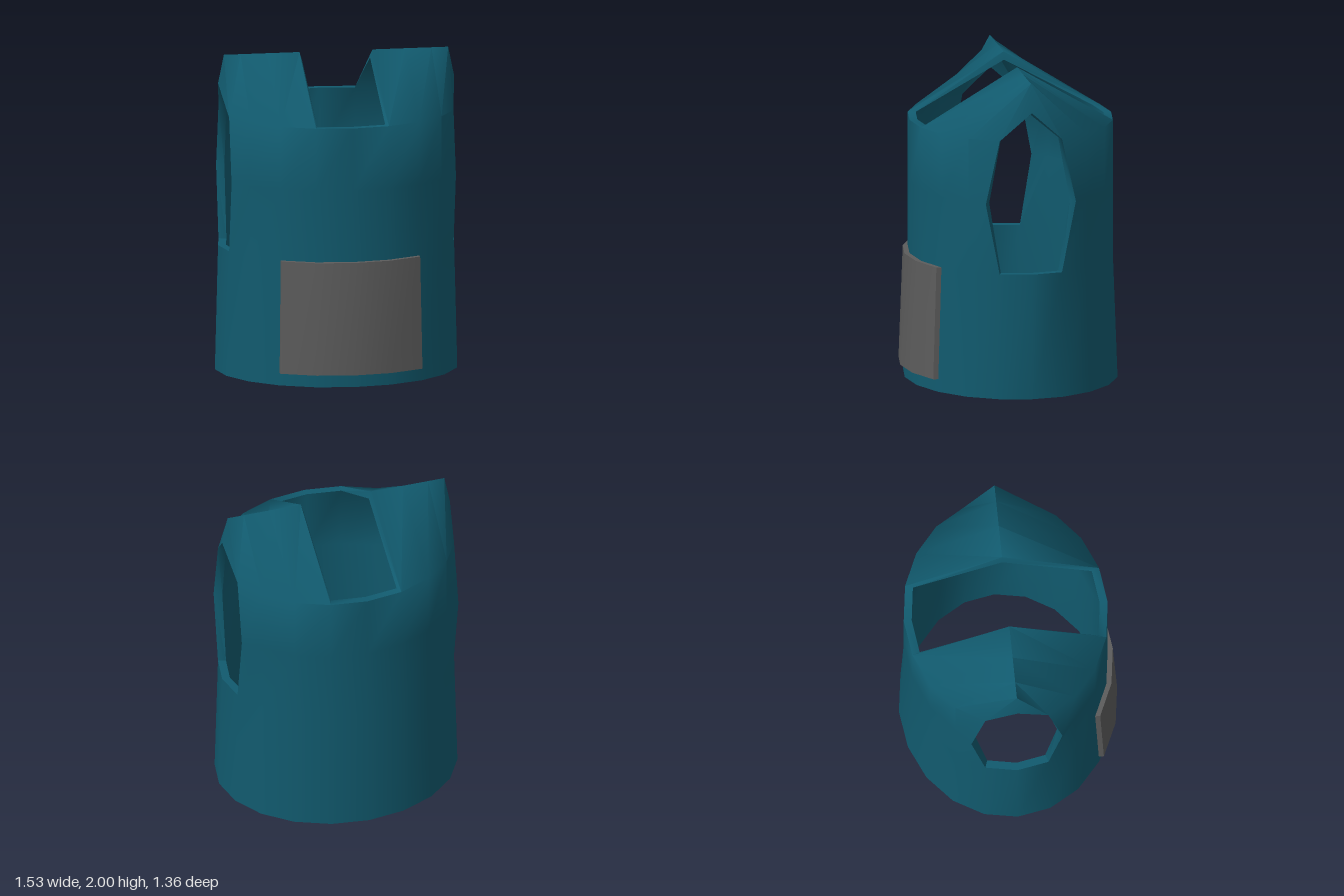
import * as THREE from 'three';
import { toCreasedNormals } from 'three/addons/utils/BufferGeometryUtils.js';

const SIDES = 20, ZC = -0.014, WALL = 0.05;
const HEM = 0, CHEST = 0.79, MID = 1.24, NECK = 1.64, TOP = 2;

// Point on the tapering elliptical torso, k counted from the front towards +x
function torso(k, y, inset = 0) {
  const a = (k / SIDES) * Math.PI * 2;
  const t = Math.max(0, 1 - y / CHEST);
  return new THREE.Vector3(
    Math.sin(a) * (0.745 + 0.02 * t - inset), y,
    ZC + Math.cos(a) * (0.638 + 0.03 * t - inset));
}

// Closes a sheet of faces into a solid: outer skin, inner skin and a rim on every open edge
function solid(faces, outer, inner, crease) {
  const pos = [];
  const add = (...p) => {
    for (let i = 1; i < p.length - 1; i++)
      for (const v of [p[0], p[i], p[i + 1]]) pos.push(v.x, v.y, v.z);
  };
  const edges = new Set();
  const eachEdge = (f, fn) => f.forEach((a, i) => fn(a, f[(i + 1) % f.length]));
  faces.forEach(f => eachEdge(f, (a, b) => edges.add(a + '>' + b)));
  for (const f of faces) {
    add(...f.map(outer));
    add(...f.map(inner).reverse());
    eachEdge(f, (a, b) => {
      if (!edges.has(b + '>' + a)) add(outer(b), outer(a), inner(a), inner(b));
    });
  }
  const g = new THREE.BufferGeometry();
  g.setAttribute('position', new THREE.Float32BufferAttribute(pos, 3));
  return toCreasedNormals(g, crease);
}

function vestGeometry() {
  const rows = [HEM, CHEST, MID, NECK];
  const wrap = k => (k + SIDES) % SIDES;
  const id = (k, r) => `${wrap(k)},${r}`;
  // Front and back columns with the same x share one point on the shoulder ridge
  const ridge = k => {
    k = wrap(k);
    return id(k <= 10 ? Math.min(k, 10 - k) : Math.max(k, 30 - k), 'ridge');
  };
  const faces = [];
  for (let k = 0; k < SIDES; k++) {
    const c = k % 10;
    const armhole = c === 4 || c === 5, neckline = c === 0 || c === 9;
    // Torso wall
    for (let r = 0; r < 3; r++)
      if (r === 0 || !armhole)
        faces.push([id(k, r), id(k + 1, r), id(k + 1, r + 1), id(k, r + 1)]);
    // Sloping shoulders, ending in small triangles above each armhole
    if (c === 4) faces.push([id(k, 3), id(k + 1, 'apex'), ridge(k)]);
    else if (c === 5) faces.push([id(k, 'apex'), id(k + 1, 3), ridge(k + 1)]);
    else if (!neckline) faces.push([id(k, 3), id(k + 1, 3), ridge(k + 1), ridge(k)]);
  }
  const point = inset => key => {
    const [ks, r] = key.split(',');
    const k = +ks;
    if (r === 'ridge') {
      const p = torso(k, TOP, inset);
      return p.set(p.x, TOP - inset, ZC);
    }
    if (r === 'apex') return torso(k, 1.82 - inset * 0.4, inset);
    const p = torso(k, rows[r], inset);
    // Armholes are widest at mid height
    if (+r === 2 && (k % 10 === 4 || k % 10 === 6))
      p.z = ZC + Math.sign(p.z - ZC) * (0.285 - inset * 0.6);
    return p;
  };
  return solid(faces, point(0), point(WALL), 1.15);
}

function pocketGeometry() {
  const faces = [];
  for (let k = -2; k < 2; k++)
    faces.push([`${k},0.08`, `${k + 1},0.08`, `${k + 1},${CHEST}`, `${k},${CHEST}`]);
  const inner = key => torso(...key.split(',').map(Number));
  const outer = key => inner(key).add(new THREE.Vector3(0, 0, 0.032));
  return solid(faces, outer, inner, 0.6);
}

export function createModel() {
  const model = new THREE.Group();
  model.name = 'vest';
  const part = (name, geometry, color) => {
    const mesh = new THREE.Mesh(geometry, new THREE.MeshStandardMaterial({ color }));
    mesh.name = name;
    model.add(mesh);
  };
  part('vestBody', vestGeometry(), 0x115a6e);
  part('frontPocket', pocketGeometry(), 0x5c5c5c);
  return model;
}
